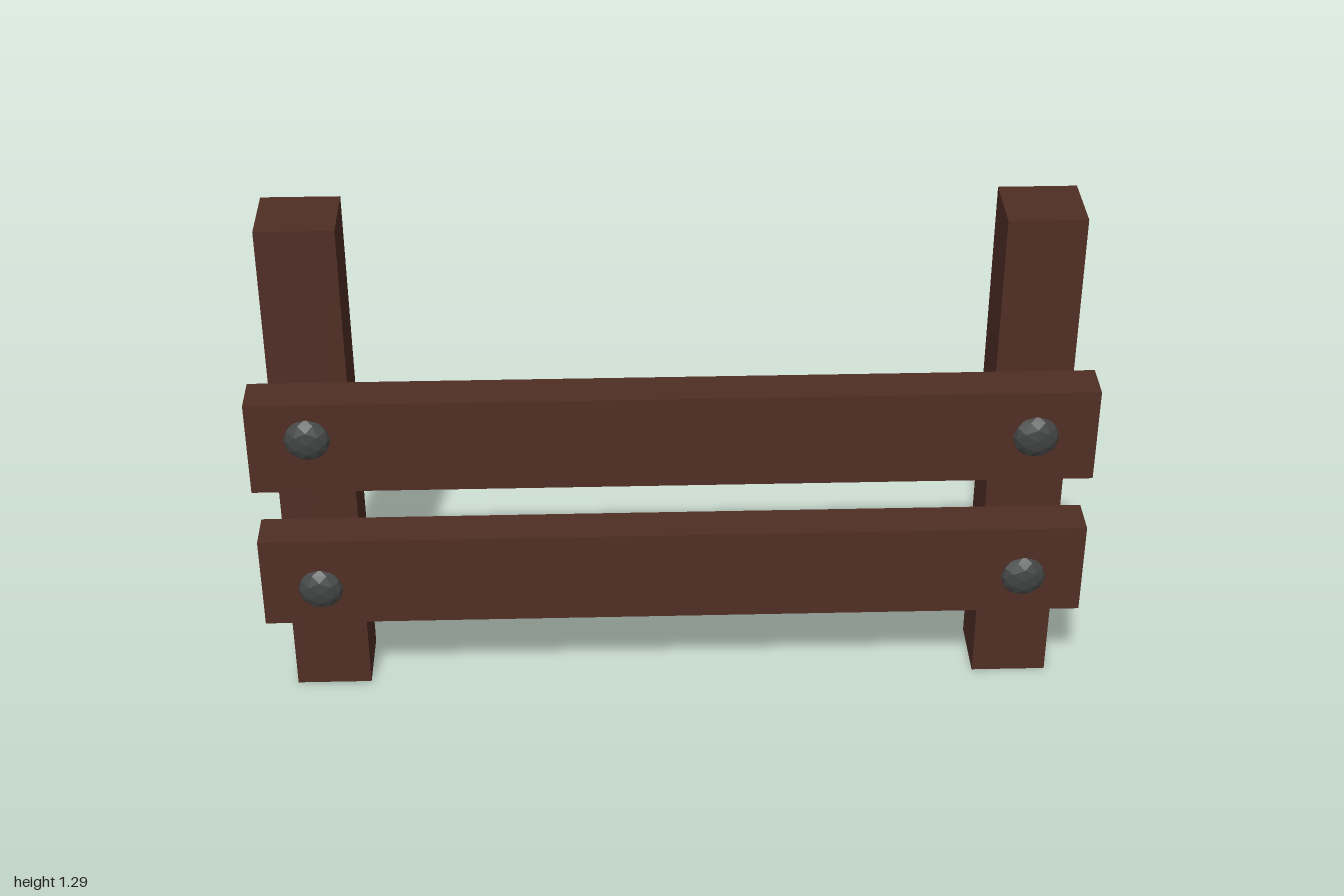
import * as THREE from 'three';

export function createModel() {
  const group = new THREE.Group();
  const wood = new THREE.MeshStandardMaterial({ color: 0x502e25 });
  wood.name = 'dark brown wood';
  const iron = new THREE.MeshStandardMaterial({ color: 0x424444 });
  iron.name = 'dark grey iron';

  function add(name, geometry, material, x, y, z) {
    const mesh = new THREE.Mesh(geometry, material);
    mesh.name = name;
    mesh.position.set(x, y, z);
    group.add(mesh);
  }

  // Two upright posts
  const post = new THREE.BoxGeometry(0.185, 1.292, 0.17);
  add('leftPost', post, wood, 0.858, 0.646, -0.062);
  add('rightPost', post, wood, -0.858, 0.646, -0.062);

  // Two rails across the front of the posts
  const rail = new THREE.BoxGeometry(2, 0.241, 0.1);
  add('lowerRail', rail, wood, 0, 0.384, 0.073);
  add('upperRail', rail, wood, 0, 0.77, 0.073);

  // Flattened, faceted bolt heads (icosahedron geometry is flat-shaded when unindexed)
  const bolt = new THREE.IcosahedronGeometry(0.056, 1);
  bolt.scale(1, 1, 0.5);
  bolt.deleteAttribute('normal');
  bolt.computeVertexNormals();
  add('lowerLeftBolt', bolt, iron, 0.855, 0.365, 0.12);
  add('lowerRightBolt', bolt, iron, -0.858, 0.365, 0.12);
  add('upperLeftBolt', bolt, iron, 0.855, 0.77, 0.12);
  add('upperRightBolt', bolt, iron, -0.858, 0.795, 0.12);

  return group;
}
